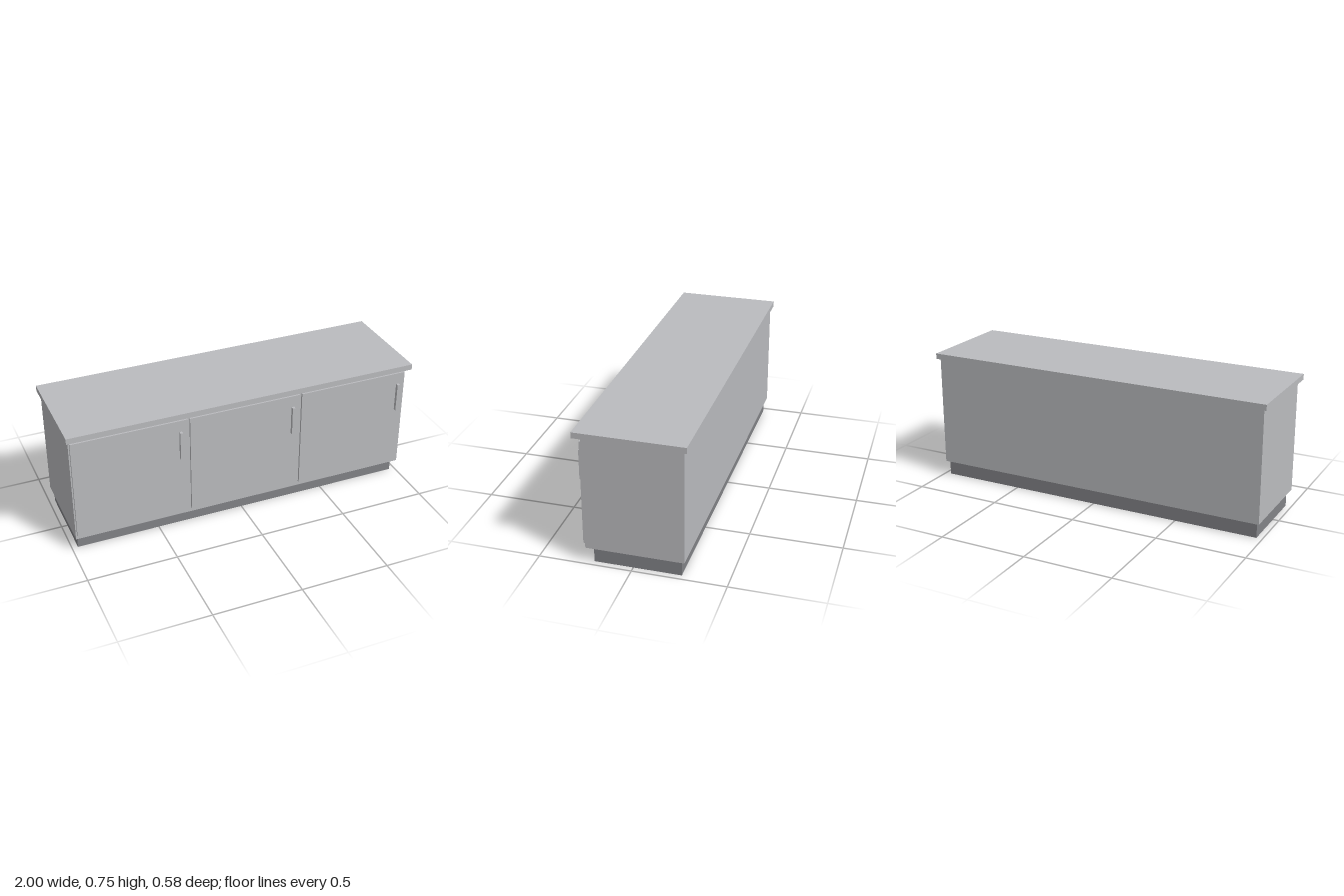
import * as THREE from 'three';

export function createModel() {
  const group = new THREE.Group();
  const cabinetGrey = new THREE.MeshStandardMaterial({ color: 0xbbbcbf });
  cabinetGrey.name = 'cabinetGrey';
  const plinthGrey = new THREE.MeshStandardMaterial({ color: 0x828387 });
  plinthGrey.name = 'plinthGrey';

  // Box given by its low and high limits on each axis
  function box(name, material, [x0, x1], [y0, y1], [z0, z1]) {
    const mesh = new THREE.Mesh(new THREE.BoxGeometry(x1 - x0, y1 - y0, z1 - z0), material);
    mesh.position.set((x0 + x1) / 2, (y0 + y1) / 2, (z0 + z1) / 2);
    mesh.name = name;
    group.add(mesh);
  }

  // Recessed plinth, carcass and overhanging worktop
  box('plinth', plinthGrey, [-0.967, 0.967], [0, 0.085], [-0.257, 0.209]);
  box('carcass', cabinetGrey, [-0.983, 0.983], [0.085, 0.718], [-0.275, 0.25]);
  box('worktop', cabinetGrey, [-1, 1], [0.718, 0.75], [-0.292, 0.292]);

  // Three doors, each with an upright bar handle near its +x edge
  ['right', 'middle', 'left'].forEach((side, i) => {
    const x = (i - 1) * 0.655;
    box(side + 'Door', cabinetGrey, [x - 0.321, x + 0.321], [0.109, 0.692], [0.25, 0.262]);
    box(side + 'Handle', cabinetGrey, [x + 0.271, x + 0.287], [0.46, 0.625], [0.262, 0.28]);
  });

  return group;
}
